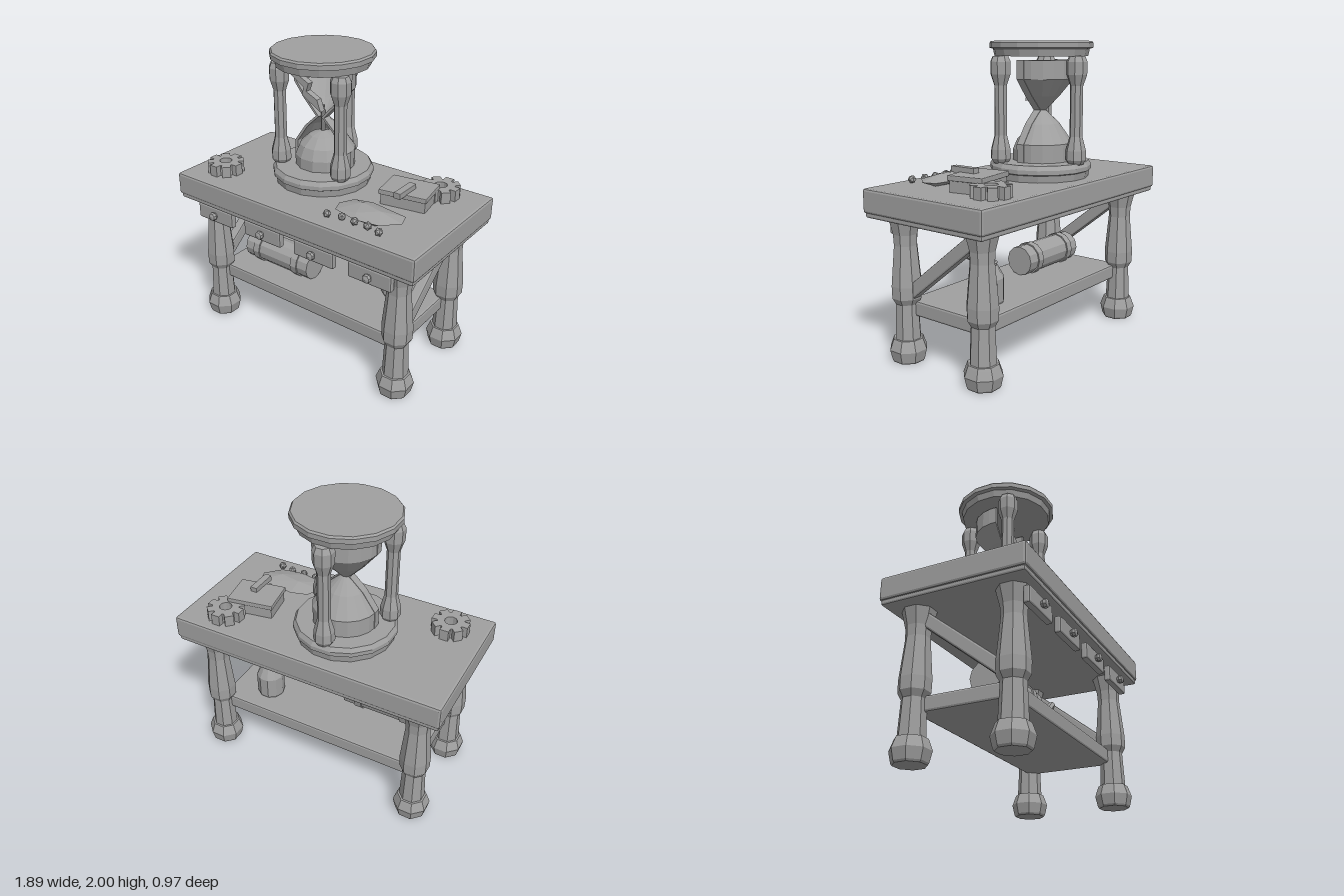
import * as THREE from 'three';
import { RoundedBoxGeometry } from 'three/addons/geometries/RoundedBoxGeometry.js';
import { ConvexGeometry } from 'three/addons/geometries/ConvexGeometry.js';

const grey = new THREE.MeshStandardMaterial({ color: 0xa0a0a0, flatShading: true });
grey.name = 'stone grey';

function add(parent, name, geometry, x = 0, y = 0, z = 0) {
  const mesh = new THREE.Mesh(geometry, grey);
  mesh.name = name;
  mesh.position.set(x, y, z);
  parent.add(mesh);
  return mesh;
}

const box = (w, h, d, bevel = 0.012) => new RoundedBoxGeometry(w, h, d, 1, bevel);
const vectors = (pairs) => pairs.map(([a, b]) => new THREE.Vector2(a, b));

// Turned part with flat sides facing front; profile runs from bottom to top
function turned(profile, sides) {
  const geometry = new THREE.LatheGeometry(vectors(profile), sides);
  return geometry.rotateY(Math.PI / sides);
}

function extruded(points, depth) {
  const geometry = new THREE.ExtrudeGeometry(new THREE.Shape(vectors(points)), { depth, bevelEnabled: false });
  return geometry.translate(0, 0, -depth / 2);
}

function gearGeometry() {
  const points = [];
  const teeth = 8;
  for (let i = 0; i < teeth; i++) {
    const a = (i / teeth) * Math.PI * 2;
    for (const [da, r] of [[-0.33, 0.088], [-0.24, 0.125], [0.24, 0.125], [0.33, 0.088]]) {
      points.push(new THREE.Vector2(Math.cos(a + da) * r, Math.sin(a + da) * r));
    }
  }
  const shape = new THREE.Shape(points);
  const hole = new THREE.Path();
  hole.absarc(0, 0, 0.042, 0, Math.PI * 2, true);
  shape.holes.push(hole);
  return new THREE.ExtrudeGeometry(shape, { depth: 0.075, bevelEnabled: false, curveSegments: 6 }).rotateX(-Math.PI / 2);
}

function buildTable(model) {
  const table = new THREE.Group();
  table.name = 'table';
  model.add(table);
  add(table, 'tableTop', box(1.89, 0.155, 0.966, 0.016), 0, 1.043, 0);
  add(table, 'tableTopUnderside', box(1.87, 0.04, 0.945), 0, 0.957, 0);
  add(table, 'shelf', box(1.5, 0.1, 0.63, 0.014), 0, 0.35, 0);

  // Legs with bulbous feet, and a diagonal brace on each side
  const leg = turned([[0, 0.1], [0.085, 0.14], [0.075, 0.38], [0.098, 0.42], [0.1, 0.5],
    [0.076, 0.76], [0.08, 0.83], [0.108, 0.94], [0, 0.94]], 8);
  const foot = turned([[0, 0], [0.1, 0], [0.108, 0.012], [0.124, 0.08], [0.104, 0.135], [0.098, 0.15], [0, 0.15]], 8);
  for (const x of [-0.755, 0.755]) {
    for (const z of [-0.317, 0.317]) {
      add(table, 'leg', leg, x, 0, z);
      add(table, 'foot', foot, x, 0, z);
    }
    const brace = add(table, 'brace', box(0.07, 0.085, 0.72), x, 0.665, 0);
    brace.rotation.x = 0.675;
  }

  // Drawer fronts with knobs
  const knob = turned([[0, 0], [0.018, 0], [0.03, 0.02], [0.026, 0.038], [0, 0.046]], 8).rotateX(Math.PI / 2);
  for (const x of [-0.653, -0.23, 0.193, 0.616]) {
    add(table, 'drawerFront', box(0.312, 0.112, 0.045), x, 0.865, 0.418);
    add(table, 'drawerKnob', knob, x, 0.865, 0.438);
  }
}

function buildShelfItems(model) {
  // Strapped roll lying on the shelf
  const roll = new THREE.Group();
  roll.name = 'roll';
  roll.position.set(-0.357, 0.5, 0.075);
  model.add(roll);
  add(roll, 'rollBody', new THREE.CylinderGeometry(0.102, 0.102, 0.556, 12).rotateZ(Math.PI / 2));
  for (const x of [-0.178, 0.165]) {
    add(roll, 'rollStrap', new THREE.CylinderGeometry(0.111, 0.111, 0.052, 12).rotateZ(Math.PI / 2), x);
  }

  // Flask with a bent spout
  const flask = turned([[0, 0.4], [0.09, 0.4], [0.097, 0.415], [0.097, 0.56], [0.052, 0.64],
    [0.056, 0.655], [0.045, 0.665], [0, 0.665]], 10);
  add(model, 'flask', flask, 0.465, 0, -0.115);
  const bend = new THREE.CatmullRomCurve3([[0.47, 0.64], [0.54, 0.685], [0.61, 0.715], [0.66, 0.75], [0.72, 0.8]]
    .map(([x, y]) => new THREE.Vector3(x, y, -0.115)));
  add(model, 'flaskSpout', new THREE.TubeGeometry(bend, 6, 0.026, 6));
}

function buildHourglass(model) {
  const glass = new THREE.Group();
  glass.name = 'hourglass';
  glass.position.set(-0.118, 0, -0.075);
  model.add(glass);

  // End plates
  add(glass, 'basePlate', turned([[0, 1.118], [0.318, 1.118], [0.325, 1.165], [0.338, 1.172],
    [0.338, 1.2], [0.32, 1.228], [0, 1.228]], 16));
  add(glass, 'topPlate', turned([[0, 1.905], [0.305, 1.905], [0.315, 1.95], [0.338, 1.957],
    [0.338, 1.988], [0.328, 2], [0, 2]], 16));

  // Three turned posts
  const post = turned([[0, 1.2], [0.05, 1.22], [0.068, 1.25], [0.066, 1.31], [0.042, 1.4], [0.042, 1.72],
    [0.066, 1.79], [0.068, 1.87], [0.052, 1.905], [0, 1.91]], 8);
  for (let i = 0; i < 3; i++) {
    const a = Math.PI + (i * Math.PI * 2) / 3;
    add(glass, 'post', post, Math.sin(a) * 0.282, 0, Math.cos(a) * 0.282);
  }

  // Rear half of the broken bulbs, with inner and outer walls
  const outer = [[0.213, 1.225], [0.213, 1.345], [0.125, 1.47], [0.034, 1.555], [0.125, 1.65], [0.213, 1.76], [0.213, 1.88]];
  const inner = outer.map(([r, y]) => [r - 0.022, y]).reverse();
  const wall = [...outer, ...inner];
  add(glass, 'bulbs', new THREE.LatheGeometry(vectors([...wall, outer[0]]), 9, Math.PI / 2, Math.PI));

  // Thick broken edges on either side
  for (const s of [-1, 1]) {
    add(glass, 'bulbEdge', extruded(wall.map(([r, y]) => [s * r, y]), 0.055), 0, 0, 0.006);
  }

  // Jagged remnant of the front
  const shard = extruded([[-0.2, 1.86], [-0.045, 1.785], [-0.065, 1.73], [0.022, 1.69], [0.05, 1.615],
    [-0.1, 1.7], [-0.085, 1.755], [-0.19, 1.82]], 0.045);
  add(glass, 'shard', shard, 0, 0, 0.07);

  // Falling sand and the heap below
  add(glass, 'sandStream', new THREE.CylinderGeometry(0.014, 0.014, 0.2, 6), 0, 1.53, 0);
  add(glass, 'sandHeap', turned([[0, 1.225], [0.185, 1.225], [0.185, 1.3], [0.155, 1.37], [0.09, 1.43], [0, 1.46]], 12));
}

function buildTableItems(model) {
  const gear = gearGeometry();
  add(model, 'gear', gear, -0.707, 1.12, 0.253);
  add(model, 'gear', gear, 0.655, 1.12, -0.302);

  // Book with a strip on its cover
  const book = new THREE.Group();
  book.name = 'book';
  book.position.set(0.54, 0, -0.105);
  book.rotation.y = 0.17;
  model.add(book);
  add(book, 'bookPages', box(0.3, 0.08, 0.225, 0.006), 0, 1.155, 0);
  add(book, 'bookCover', box(0.318, 0.034, 0.245, 0.006), 0, 1.207, 0);
  add(model, 'bookStrip', box(0.048, 0.04, 0.185, 0.003), 0.562, 1.236, -0.015);

  // Faceted lump with a row of small nuggets
  const points = [[0.235, 0.22], [0.285, 0.125], [0.4, 0.092], [0.667, 0.132], [0.695, 0.22], [0.6, 0.32], [0.44, 0.345], [0.265, 0.305]]
    .map(([x, z]) => new THREE.Vector3(x, 1.15, z));
  for (const [x, y, z] of [[0.39, 1.188, 0.19], [0.54, 1.185, 0.22], [0.42, 1.172, 0.3],
    [0.33, 1.12, 0.16], [0.62, 1.12, 0.18], [0.55, 1.12, 0.29], [0.33, 1.12, 0.28]]) {
    points.push(new THREE.Vector3(x, y, z));
  }
  add(model, 'lump', new ConvexGeometry(points));
  const nugget = new THREE.IcosahedronGeometry(0.027, 0);
  [[0.255, 0.373], [0.35, 0.35], [0.445, 0.353], [0.54, 0.353], [0.632, 0.373]].forEach(([x, z], i) => {
    add(model, 'nugget', nugget, x, 1.145, z).rotation.y = i * 0.7;
  });
}

export function createModel() {
  const model = new THREE.Group();
  model.name = 'hourglassWorkbench';
  buildTable(model);
  buildShelfItems(model);
  buildHourglass(model);
  buildTableItems(model);
  return model;
}
